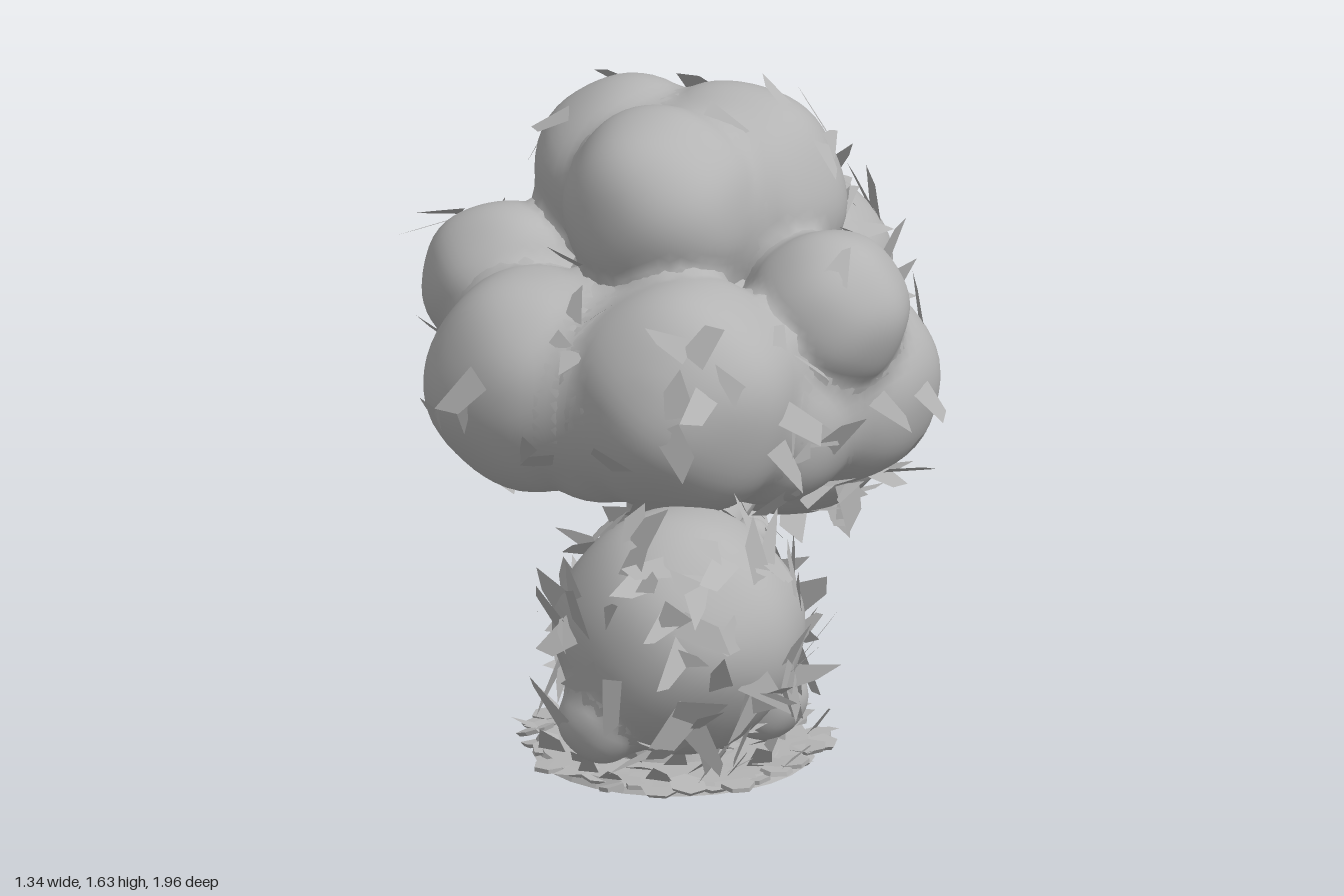
import * as THREE from 'three';
import { mergeVertices, mergeGeometries } from 'three/addons/utils/BufferGeometryUtils.js';

const V = (x, y, z) => new THREE.Vector3(x, y, z);
let seed = 7;
const rnd = (a = 0, b = 1) => {
  seed = (seed * 16807) % 2147483647;
  return a + (b - a) * (seed / 2147483647);
};

// Foliage lumps: x, y, z, radius, leaf count
const CANOPY = [
  [0, 1.38, 0.14, 0.23, 3], [-0.16, 1.35, -0.1, 0.235, 16], [0.09, 1.35, -0.09, 0.255, 34],
  [0.4, 1.17, 0.12, 0.187, 5], [-0.41, 1.13, 0.09, 0.187, 8],
  [-0.23, 1.0, 0.34, 0.258, 30], [-0.04, 0.98, 0.34, 0.245, 10], [0.15, 1.02, 0.39, 0.275, 34],
  [0.35, 0.94, -0.04, 0.245, 40], [-0.42, 0.94, -0.24, 0.215, 40],
  [-0.18, 1.08, -0.38, 0.22, 28], [-0.03, 1.07, -0.38, 0.215, 16], [0.12, 1.07, -0.39, 0.225, 48],
  [0.28, 0.93, 0.2, 0.21, 16], [-0.38, 0.93, 0.06, 0.195, 18], [0, 1.0, 0, 0.3, 10],
];
const FRONT_CLUMP = [[0.23, 0.54, 0.63, 0.285, 125], [0.1, 0.36, 0.78, 0.105, 3], [0.33, 0.31, 0.37, 0.107, 0]];
const BACK_CLUMP = [[-0.05, 0.61, -0.68, 0.238, 65], [0.01, 0.61, -0.68, 0.238, 65]];

// Smoothly blended distance from p to a group of lumps
const BLEND = 0.025;
const distance = (p, lumps) => -BLEND * Math.log(lumps.reduce(
  (sum, o) => sum + Math.exp((o[3] - Math.hypot(p.x - o[0], p.y - o[1], p.z - o[2])) / BLEND), 0));

// Smooth, slightly uneven ball that swells to fill the creases beside its neighbours
function lump([x, y, z, r], lumps) {
  let g = new THREE.IcosahedronGeometry(1, 9);
  g.deleteAttribute('uv');
  g.deleteAttribute('normal');
  g = mergeVertices(g, 1e-4);
  const p = g.attributes.position, v = V(), q = V();
  for (let i = 0; i < p.count; i++) {
    v.fromBufferAttribute(p, i);
    const k = 1 + 0.022 * Math.sin(4 * v.x + 9 * x) * Math.sin(5 * v.y + 7 * z) + 0.014 * Math.sin(7 * v.z + 11 * y);
    q.set(x, y, z).addScaledVector(v, r * k);
    for (let n = 0; n < 4; n++) q.addScaledVector(v, THREE.MathUtils.clamp(-distance(q, lumps) - 0.008, 0, 0.012));
    p.setXYZ(i, q.x, q.y, q.z);
  }
  g.computeVertexNormals();
  return g;
}

// One pointed leaf with a broad base: pushes two triangles leaning along dir
function leaf(out, base, dir, normal, len, width) {
  const side = V().crossVectors(dir, normal).normalize().multiplyScalar(width);
  const l = base.clone().sub(side), r = base.clone().add(side);
  const tip = base.clone().addScaledVector(dir, len).addScaledVector(side, rnd(-0.6, 0.6));
  const shoulder = base.clone().addScaledVector(dir, len * rnd(0.55, 0.85)).addScaledVector(side, -rnd(0.7, 1.1));
  for (const q of [l, r, tip, l, tip, shoulder]) out.push(q.x, q.y, q.z);
}

function leafGeometry(out) {
  const g = new THREE.BufferGeometry();
  g.setAttribute('position', new THREE.Float32BufferAttribute(out, 3));
  g.computeVertexNormals();
  return g;
}

// Leaves poking out of the exposed surface of a group of lumps
function foliageLeaves(lumps, size, lift) {
  const out = [];
  for (const L of lumps) {
    const c = V(L[0], L[1], L[2]);
    for (let i = 0; i < L[4]; i++) {
      const h = rnd(-1, 0.85), a = rnd(0, Math.PI * 2), s = Math.sqrt(1 - h * h);
      const n = V(s * Math.cos(a), h, s * Math.sin(a));
      const p = c.clone().addScaledVector(n, L[3] * 0.99);
      if (lumps.some((o) => o !== L && p.distanceTo(V(o[0], o[1], o[2])) < o[3])) continue;
      const t = V(rnd(-1, 1), rnd(-1, 1), rnd(-1, 1)).cross(n).normalize();
      const dir = t.addScaledVector(n, rnd(0.0, lift)).normalize();
      leaf(out, p, dir, n, size * rnd(0.7, 1.3), size * rnd(0.22, 0.36));
    }
  }
  return leafGeometry(out);
}

// Tapered limb swept along a curve
function limb(points, r0, r1) {
  const curve = new THREE.CatmullRomCurve3(points.map((p) => V(...p)));
  const n = 20, m = 12, g = new THREE.TubeGeometry(curve, n, 1, m, false);
  const p = g.attributes.position, v = V();
  for (let i = 0; i <= n; i++) {
    const c = curve.getPointAt(i / n), r = r1 + (r0 - r1) * Math.pow(1 - i / n, 2);
    for (let j = 0; j <= m; j++) {
      const k = i * (m + 1) + j;
      v.fromBufferAttribute(p, k).sub(c).multiplyScalar(r).add(c);
      p.setXYZ(k, v.x, v.y, v.z);
    }
  }
  g.computeVertexNormals();
  return g;
}

export function createModel() {
  const model = new THREE.Group();
  const grey = new THREE.MeshStandardMaterial({ color: 0xb4b4b4, side: THREE.DoubleSide });
  grey.name = 'plain grey';
  const add = (name, geometry, parent = model) => {
    const mesh = new THREE.Mesh(geometry, grey);
    mesh.name = name;
    parent.add(mesh);
    return mesh;
  };

  // Trunk with flared foot
  const profile = [[0.18, 0.02], [0.162, 0.09], [0.149, 0.2], [0.13, 0.33], [0.111, 0.48], [0.1, 0.62], [0.098, 0.75], [0.11, 0.95]];
  const curve = new THREE.SplineCurve(profile.map((p) => new THREE.Vector2(...p)));
  const trunk = add('trunk', new THREE.LatheGeometry(curve.getPoints(24), 24));
  trunk.position.set(-0.03, 0, 0.01);

  // Branches
  const branches = new THREE.Group();
  branches.name = 'branches';
  model.add(branches);
  add('backBranch', limb([[-0.03, 0.24, 0], [-0.03, 0.37, -0.11], [-0.03, 0.455, -0.24], [-0.03, 0.48, -0.42], [-0.03, 0.55, -0.62]], 0.1, 0.042), branches);
  add('frontBranch', limb([[-0.03, 0.32, 0.02], [0.06, 0.36, 0.15], [0.17, 0.36, 0.28], [0.23, 0.45, 0.55]], 0.09, 0.05), branches);
  add('frontTwig', limb([[0.12, 0.36, 0.22], [0.22, 0.34, 0.3], [0.33, 0.31, 0.37]], 0.05, 0.04), branches);
  add('sideTwig', limb([[-0.02, 0.55, 0.02], [0.09, 0.58, 0.08], [0.2, 0.59, 0.12]], 0.055, 0.03), branches);
  add('sideKnob', new THREE.SphereGeometry(0.047, 16, 12), branches).position.set(0.21, 0.59, 0.12);
  add('upperFrontBranch', limb([[-0.03, 0.6, 0.01], [0.03, 0.7, 0.12], [0.1, 0.88, 0.28]], 0.08, 0.05), branches);
  add('upperBackBranch', limb([[-0.03, 0.6, 0.01], [0.0, 0.72, -0.1], [0.04, 0.92, -0.26]], 0.08, 0.05), branches);

  // Foliage
  for (const [name, lumps, size, lift] of [
    ['canopy', CANOPY, 0.11, 0.6],
    ['frontClump', FRONT_CLUMP, 0.12, 0.8],
    ['backClump', BACK_CLUMP, 0.11, 0.8],
  ]) {
    const group = new THREE.Group();
    group.name = name;
    model.add(group);
    add(name + 'Lumps', mergeGeometries(lumps.map((l) => lump(l, lumps))), group);
    add(name + 'Leaves', foliageLeaves(lumps, size, lift), group);
  }

  // Ground patch
  const patch = add('groundPatch', new THREE.CylinderGeometry(0.31, 0.325, 0.025, 28).toNonIndexed());
  patch.geometry.computeVertexNormals();
  patch.position.set(-0.02, 0.0225, 0.015);

  // Flat flakes lying around the rim
  const flakes = [];
  for (let i = 0; i < 34; i++) {
    const a = (i / 34) * Math.PI * 2, r = rnd(0.29, 0.335);
    const flake = new THREE.CylinderGeometry(rnd(0.036, 0.05), 0.04, 0.01, 6).toNonIndexed();
    flake.rotateX(rnd(-0.2, 0.2)).rotateY(rnd(0, 3)).rotateZ(rnd(-0.2, 0.2));
    flake.translate(-0.02 + r * Math.cos(a), rnd(0.022, 0.038), 0.015 + r * Math.sin(a));
    flake.computeVertexNormals();
    flakes.push(flake);
  }
  add('rimFlakes', mergeGeometries(flakes));

  // Fallen leaves: some flat, others standing up
  const out = [];
  for (let i = 0; i < 75; i++) {
    const flat = i < 35;
    const a = (i * 2.399963) % (Math.PI * 2), r = flat ? rnd(0.2, 0.32) : rnd(0.18, 0.33);
    const base = V(-0.02 + r * Math.cos(a), rnd(0.034, 0.046), 0.015 + r * Math.sin(a));
    const b = a + rnd(-0.9, 0.9);
    const dir = V(Math.cos(b), flat ? rnd(-0.05, 0.12) : rnd(0.3, 1.5), Math.sin(b)).normalize();
    leaf(out, base, dir, V(0, 1, 0), rnd(0.055, 0.08), rnd(0.024, 0.036));
  }
  add('fallenLeaves', leafGeometry(out));
  return model;
}
